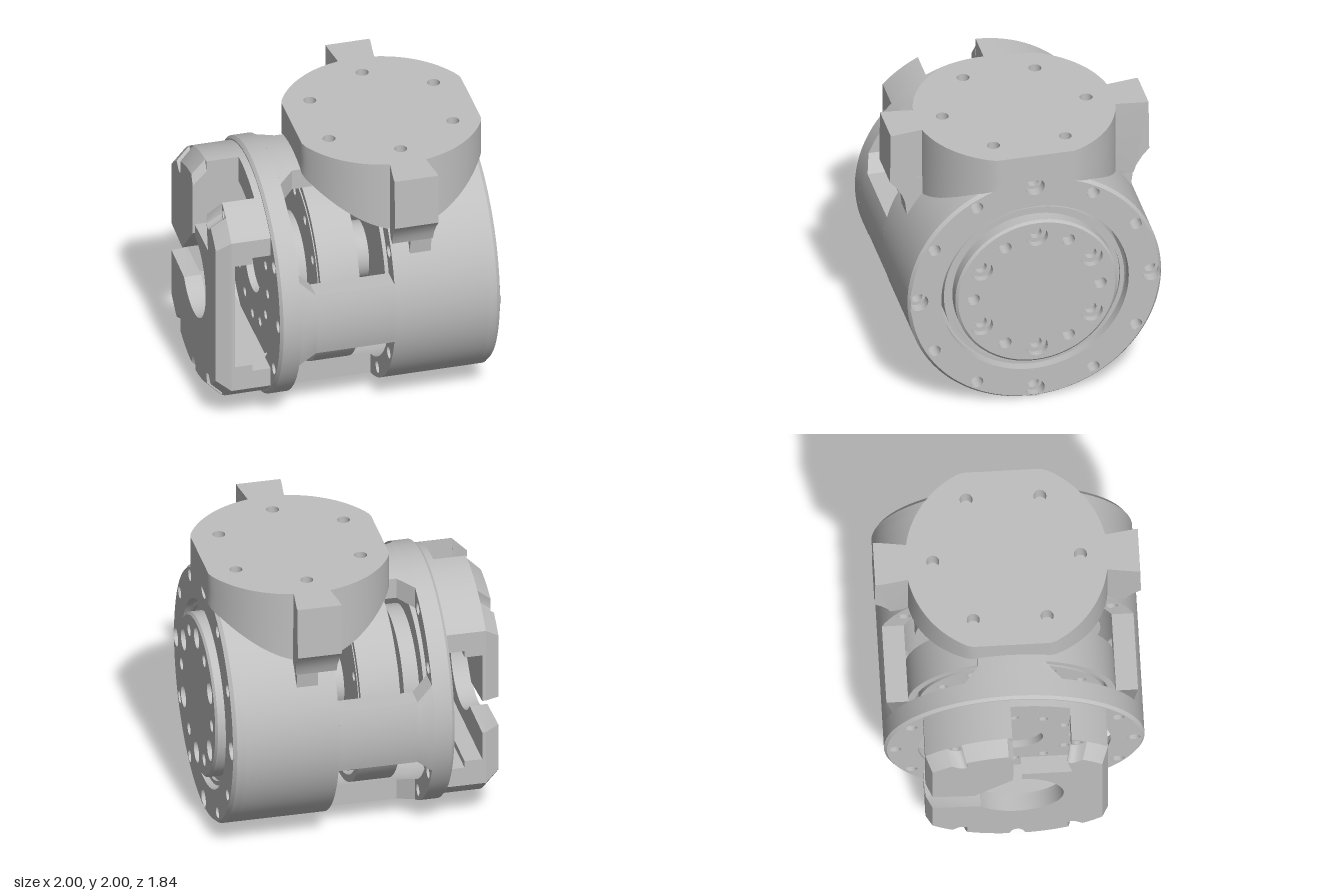
import * as THREE from 'three';
import { toCreasedNormals } from 'three/addons/utils/BufferGeometryUtils.js';

const AXIS = 0.9; // height of the main axis
const grey = new THREE.MeshStandardMaterial({ color: 0xbfbfbf });
grey.name = 'machined grey';

const arc = (r, a0, a1, n = 24) => Array.from({ length: n + 1 }, (_, i) => {
  const a = a0 + (a1 - a0) * i / n;
  return new THREE.Vector2(r * Math.cos(a), r * Math.sin(a));
});
const poly = (...parts) => new THREE.Shape(parts.flat());
const pt = (u, v) => new THREE.Vector2(u, v);
const circle = (r, n = 72) => new THREE.Shape(arc(r, 0, Math.PI * 2, n).slice(0, -1));
function hole(shape, u, v, r, n = 20) {
  shape.holes.push(new THREE.Path(arc(r, 0, Math.PI * 2, n).slice(0, -1).map(p => p.add(pt(u, v)))));
  return shape;
}
// Twelve holes on a circle; big(i) picks the counterbored ones
function boltCircle(shape, ring, small, large = small, big = () => false) {
  for (let i = 0; i < 12; i++) {
    const a = i * Math.PI / 6;
    hole(shape, ring * Math.cos(a), ring * Math.sin(a), big(i) ? large : small);
  }
  return shape;
}
function move(geo, rule) {
  const p = geo.attributes.position, v = new THREE.Vector3();
  for (let i = 0; i < p.count; i++) {
    rule(v.fromBufferAttribute(p, i));
    p.setXYZ(i, v.x, v.y, v.z);
  }
  return geo;
}

export function createModel() {
  const root = new THREE.Group();
  const add = (name, geo, parent = root) => {
    const m = new THREE.Mesh(toCreasedNormals(geo, 0.45), grey);
    m.name = name;
    parent.add(m);
  };
  const group = name => {
    const g = new THREE.Group();
    g.name = name;
    root.add(g);
    return g;
  };
  // Cross-section (u = -z, v = height above the axis) extruded along x
  const slab = (shape, x0, x1, rule) => {
    const g = new THREE.ExtrudeGeometry(shape, { depth: x1 - x0, bevelEnabled: false });
    g.rotateY(Math.PI / 2).translate(x0, 0, 0);
    if (rule) move(g, rule);
    return g.translate(0, AXIS, 0);
  };
  const cyl = (r, x0, x1) =>
    new THREE.CylinderGeometry(r, r, x1 - x0, 72).rotateZ(-Math.PI / 2).translate((x0 + x1) / 2, AXIS, 0);
  const tube = (outer, inner) => hole(circle(outer, 96), 0, 0, inner, 96);
  const annulus = (inner, small, large) =>
    boltCircle(tube(0.9, inner), 0.826, small, large, i => i % 3 === 0);
  // Chamfers the outer rim at one end
  const rim = xEnd => v => {
    if (Math.abs(v.x - xEnd) < 1e-4 && Math.hypot(v.y, v.z) > 0.897) { v.y *= 0.978; v.z *= 0.978; }
  };

  // Housing shell
  const housing = group('housing');
  add('mainBarrel', slab(annulus(0.755, 0.045, 0.045), 0.2, 0.87), housing);
  add('endRing', slab(annulus(0.665, 0.045, 0.068), 0.87, 0.925), housing);
  add('endRingChamfer', slab(annulus(0.665, 0.045, 0.068), 0.925, 0.95, rim(0.95)), housing);
  add('rearRing', slab(annulus(0.755, 0.045, 0.045), -0.6, -0.47), housing);
  add('rearRingChamfer', slab(annulus(0.665, 0.045, 0.045), -0.62, -0.6, rim(-0.62)), housing);

  // Four struts between the windows, flared where they meet the rear ring
  const w = 0.235, aOut = Math.asin(w / 0.9), aIn = Math.asin(w / 0.755), up = Math.PI / 2;
  const strut = poly(arc(0.9, up - aOut, up + aOut, 12), arc(0.755, up + aIn, up - aIn, 12));
  hole(strut, 0, 0.826, 0.045);
  const flare = v => {
    if (v.x > -0.469 || Math.abs(v.z) < 0.06) return;
    const r = Math.hypot(v.y, v.z);
    v.z *= 0.335 / w;
    v.y = Math.sqrt(r * r - v.z * v.z);
  };
  for (let i = 0; i < 4; i++) {
    for (const g of [slab(strut, -0.36, 0.2), slab(strut, -0.47, -0.36, flare)]) {
      g.translate(0, -AXIS, 0).rotateX(i * Math.PI / 2).translate(0, AXIS, 0);
      add('windowStrut', g, housing);
    }
  }

  // Motor drum, stepped hub and shaft inside
  const core = group('core');
  add('drumRing', slab(tube(0.72, 0.67), -0.28, 0), core);
  add('drumDisc', slab(boltCircle(circle(0.64), 0.55, 0.035), -0.28, 0), core);
  add('hubStep', cyl(0.335, -0.36, -0.28), core);
  add('hubBody', cyl(0.47, -0.47, -0.36), core);
  add('hubFlange', cyl(0.62, -0.53, -0.47), core);
  add('hubFace', slab(hole(boltCircle(circle(0.62), 0.4, 0.035), 0, 0, 0.2, 40), -0.58, -0.53), core);
  add('shaft', cyl(0.2, 0, 0.2), core);
  add('rotor', cyl(0.64, 0.2, 0.9), core);

  // Output flange with its bolt circle
  const flange = group('outputFlange');
  add('flangeLip', slab(tube(0.64, 0.61), 0.89, 0.92), flange);
  add('flangeBase', slab(boltCircle(circle(0.575), 0.45, 0.045), 0.9, 0.95), flange);
  const face = () => boltCircle(circle(0.575), 0.45, 0.045, 0.078, i => i % 2 === 1);
  add('flangeFace', slab(face(), 0.95, 0.985), flange);
  add('flangeChamfer', slab(face(), 0.985, 1, v => {
    if (v.x > 0.999 && Math.hypot(v.y, v.z) > 0.57) { v.y *= 0.97; v.z *= 0.97; }
  }), flange);

  // Rear bracket: plate with a bore, a top notch and a side gap
  const bracket = group('rearBracket');
  const R = 0.87, aF = Math.acos(0.63 / R), angle = u => Math.acos(u / R);
  const edge = (a0, a1) => arc(R, a0, a1, Math.ceil(Math.abs(a1 - a0) / 0.02));
  // Scallops that clear the bolts in the chamfered edge
  const scallop = points => points.map(p => {
    const t = p.angle() / (Math.PI / 6), off = Math.abs(t - Math.round(t)) * Math.PI / 6;
    return off < 0.055 ? p.setLength(0.83 - Math.sqrt(0.055 ** 2 - off ** 2)) : p;
  });
  const drill = (shape, ...spots) => {
    for (const [u, v] of spots) hole(shape, u, v, 0.034);
    return shape;
  };
  const topA = () => edge(aF, angle(0.03)), topB = () => edge(angle(-0.38), angle(-0.63));
  const bottom = () => edge(Math.PI + aF, 2 * Math.PI - aF);
  const plate = cut => poly(cut(bottom()), [pt(0.63, -0.2)],
    arc(0.32, -0.65, -1.5 * Math.PI + 0.1, 36), [pt(-0.03, 0.41), pt(-0.38, 0.41)], cut(topB()));
  const arm = cut => poly([pt(0.63, 0.05)], cut(topA()), [pt(0.03, 0.3), pt(0.3, 0.02)]);
  const boltA = [0.42, 0.712], boltB = [-0.42, 0.712], low = [[0.42, -0.712], [-0.42, -0.712], [0, -0.82]];
  const chamfer = v => {
    if (v.x < -0.999 && Math.hypot(v.y, v.z) > 0.58) { v.y *= 0.88; v.z *= 0.93; }
  };
  add('borePlate', slab(plate(scallop), -1, -0.9, chamfer), bracket);
  add('borePlate', slab(drill(plate(p => p), boltB, ...low), -0.9, -0.875), bracket);
  add('sideArm', slab(arm(scallop), -1, -0.9, chamfer), bracket);
  add('sideArm', slab(drill(arm(p => p), boltA), -0.9, -0.875), bracket);
  // Stepped blocks joining the plate to the housing
  for (const [v, x0, x1] of [[0.41, -0.875, -0.75], [0.46, -0.75, -0.61]]) {
    add('topBlock', slab(drill(poly([pt(0.03, v), pt(0.63, v)], topA()), boltA), x0, x1), bracket);
    add('topBlock', slab(drill(poly([pt(-0.63, v), pt(-0.38, v)], topB()), boltB), x0, x1), bracket);
    add('bottomBlock', slab(drill(poly([pt(0.63, -v), pt(-0.63, -v)], bottom()), ...low), x0, x1), bracket);
  }
  const notch = poly(edge(angle(0.03), angle(-0.38)), arc(0.67, Math.acos(-0.38 / 0.67), Math.acos(0.03 / 0.67), 10));
  add('notchRim', slab(notch, -0.67, -0.61), bracket);

  // Round mounting neck with flattened ends, its underside following the housing
  const neck = group('mountingNeck');
  const NX = 0.34, NR = 0.7;
  const flat = x => THREE.MathUtils.clamp(x, -0.64, 0.64);
  const top = poly(arc(NR, 0, Math.PI * 2, 96).slice(0, -1).map(p => pt(flat(p.x), p.y)));
  for (let i = 0; i < 6; i++) {
    const a = Math.PI / 2 + i * Math.PI / 3;
    hole(top, 0.51 * Math.cos(a), 0.51 * Math.sin(a), 0.045);
  }
  add('neckTop', new THREE.ExtrudeGeometry(top, { depth: 0.14, bevelEnabled: false })
    .rotateX(-Math.PI / 2).translate(NX, 1.86, 0), neck);
  const under = v => {
    v.x = flat(v.x);
    v.y = v.y > 0 ? 1.86 : AXIS + Math.sqrt(0.81 - v.z * v.z) - 0.005;
  };
  add('neckSide', move(new THREE.CylinderGeometry(NR, NR, 1, 96, 1, true), under).translate(NX, 0, 0), neck);
  add('neckUnderside', move(new THREE.RingGeometry(0.001, NR, 96, 8).rotateX(Math.PI / 2).translate(0, -1, 0), under)
    .translate(NX, 0, 0), neck);
  add('holeFloor', new THREE.CircleGeometry(0.6, 48).rotateX(-Math.PI / 2).translate(NX, 1.861, 0), neck);

  // Side lugs of the neck, wider at the outer end, with a foot running into the housing
  for (const s of [1, -1]) {
    const lug = poly([[0.6, 1.1], [0.7, 1.1], [0.89, 1.1], [0.915, 1.06], [0.92, 0.72], [0.87, 0.66],
      [0.83, 0.59], [0.81, 0.53], [0.69, 0.53], [0.6, 0.6]].map(([u, v]) => pt(s * u, v)));
    add('neckLug', slab(lug, -0.13, 0.13, v => {
      const t = THREE.MathUtils.clamp((Math.abs(v.z) - 0.7) / 0.19, 0, 1);
      v.x *= 1 + 0.2 * t;
      if (v.y > 1.05) v.y = 1.1;
    }).translate(0.345, 0, 0), neck);
    const web = poly([[0.6, 0.72], [0.74, 0.72], [0.81, 0.54], [0.795, 0.42], [0.6, 0.6]].map(([u, v]) => pt(s * u, v)));
    add('neckFoot', slab(web, 0.33, 0.48), neck);
  }
  return root;
}
